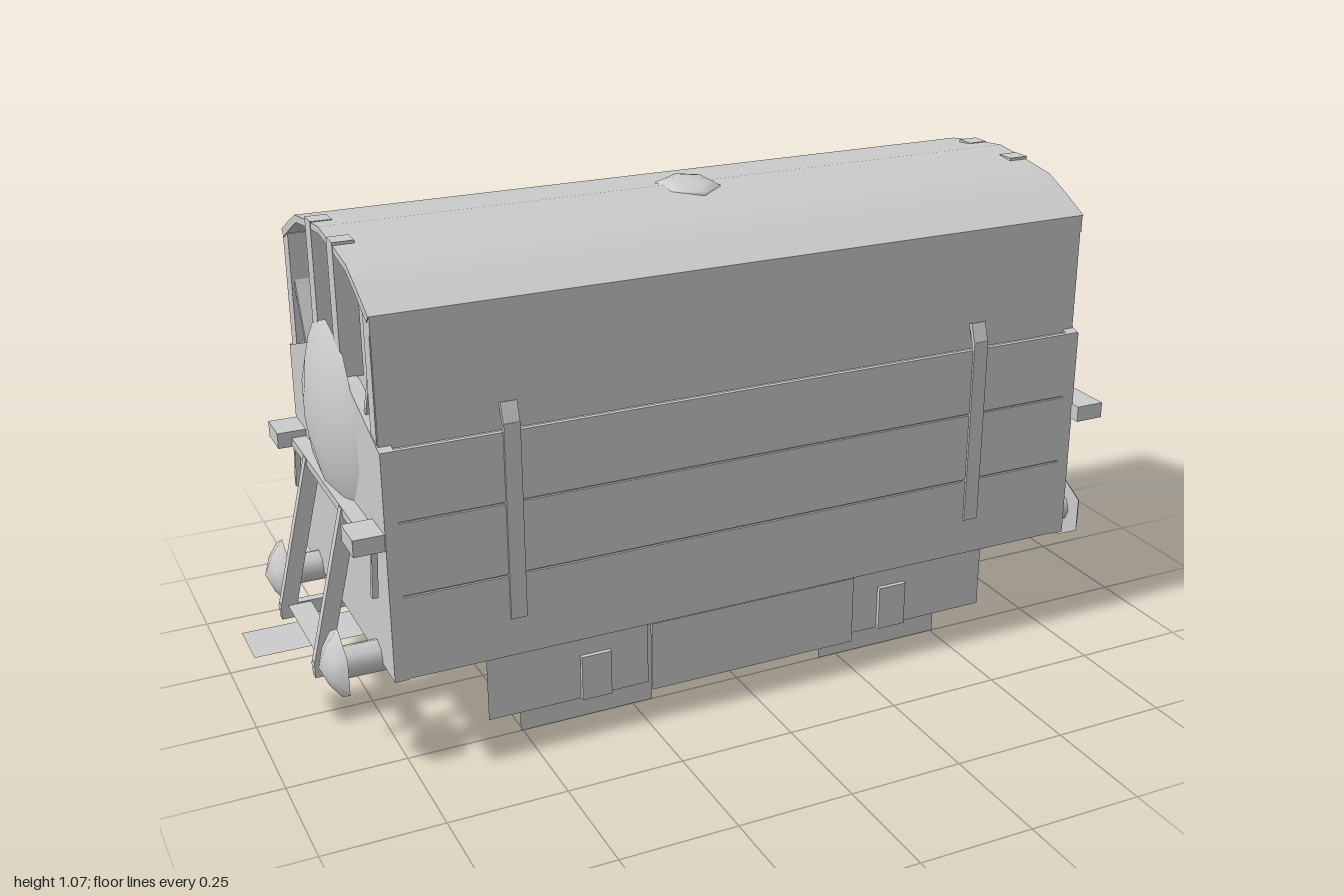
import * as THREE from 'three';
import { toCreasedNormals } from 'three/addons/utils/BufferGeometryUtils.js';

const mat = new THREE.MeshStandardMaterial({ color: 0xcccccc });
const sheetMat = new THREE.MeshStandardMaterial({ color: 0xcccccc, side: THREE.DoubleSide });

export function createModel() {
  const model = new THREE.Group();

  function add(parent, name, geo, material = mat) {
    const m = new THREE.Mesh(geo, material);
    m.name = name;
    parent.add(m);
    return m;
  }
  // box given by its limits
  function box(parent, name, x0, x1, y0, y1, z0, z1) {
    const g = new THREE.BoxGeometry(x1 - x0, y1 - y0, z1 - z0);
    g.translate((x0 + x1) / 2, (y0 + y1) / 2, (z0 + z1) / 2);
    return add(parent, name, g);
  }
  // square bar between two points
  function bar(parent, name, a, b, w, d = w) {
    const p = new THREE.Vector3(...a), q = new THREE.Vector3(...b);
    const m = add(parent, name, new THREE.BoxGeometry(w, p.distanceTo(q), d));
    m.position.copy(p).add(q).multiplyScalar(0.5);
    m.quaternion.setFromUnitVectors(new THREE.Vector3(0, 1, 0), q.sub(p).normalize());
    return m;
  }
  // (z, y) cross-section extruded along x
  function section(parent, name, pts, x0, x1, crease = 0.2) {
    const shape = new THREE.Shape(pts.map(([z, y]) => new THREE.Vector2(-z, y)));
    const g = new THREE.ExtrudeGeometry(shape, { depth: x1 - x0, bevelEnabled: false });
    g.rotateY(Math.PI / 2).translate(x0, 0, 0);
    return add(parent, name, toCreasedNormals(g, crease));
  }
  // thin upright sheet facing z
  function sheet(parent, name, x0, x1, y0, y1, z) {
    const g = new THREE.PlaneGeometry(x1 - x0, y1 - y0);
    g.translate((x0 + x1) / 2, (y0 + y1) / 2, z);
    return add(parent, name, g, sheetMat);
  }
  // thin level sheet
  function flat(parent, name, x0, x1, y, w) {
    const g = new THREE.PlaneGeometry(x1 - x0, w).rotateX(-Math.PI / 2);
    return add(parent, name, g.translate((x0 + x1) / 2, y, 0), sheetMat);
  }
  // faceted cap of revolution around x, from [radius, x] points
  function cap(parent, name, pts, sides, crease) {
    const g = new THREE.LatheGeometry(pts.map(([r, h]) => new THREE.Vector2(r, h)), sides, Math.PI / 2);
    return add(parent, name, toCreasedNormals(g.rotateZ(-Math.PI / 2), crease));
  }

  // lower body
  box(model, 'lowerBody', -0.78, 0.78, 0.23, 0.71, -0.33, 0.33);
  // upper body, recessed at both ends
  const arc = [[0.318, 0.972], [0.255, 1.004], [0.19, 1.034], [0.1, 1.047], [0, 1.058],
    [-0.1, 1.047], [-0.19, 1.034], [-0.255, 1.004], [-0.318, 0.972]];
  section(model, 'upperBody',
    [[0.3, 0.7], ...arc.map(([z, y]) => [z * 0.94, y - 0.012]), [-0.3, 0.7]], -0.735, 0.735);
  // curved roof shell
  section(model, 'roof', [...arc, ...arc.map(([z, y]) => [z * 0.96, y - 0.014]).reverse()], -0.788, 0.788, 0.5);

  // roof vent
  const vent = add(model, 'roofVent', new THREE.SphereGeometry(1, 6, 4, Math.PI / 6, Math.PI * 2, 0, Math.PI / 2));
  vent.scale.set(0.07, 0.023, 0.085);
  vent.position.y = 1.047;

  // long sides
  for (const s of [1, -1]) {
    const side = new THREE.Group();
    side.name = s > 0 ? 'frontSide' : 'backSide';
    side.rotation.y = s > 0 ? 0 : Math.PI;
    model.add(side);
    box(side, 'upperWall', -0.785, 0.785, 0.7, 0.97, 0.295, s > 0 ? 0.316 : 0.308);
    box(side, 'eaveBoard', -0.786, 0.786, 0.935, 0.972, 0.3, 0.318);
    for (const x of [-0.53, 0.53]) {
      box(side, 'strap', x - 0.017, x + 0.017, 0.315, 0.73, 0.33, 0.34);
      bar(side, 'strapTop', [x, 0.725, 0.335], [x, 0.768, 0.32], 0.034, 0.01);
    }
    // underframe sheets, wheel sheets and axle boxes
    sheet(side, 'middleSkirt', -0.24, 0.24, 0.075, 0.23, 0.333);
    for (const x of [-0.355, 0.355]) {
      const c = Math.sign(x) * 0.4125;
      sheet(side, 'axlePlate', c - 0.1775, c + 0.1775, 0.075, 0.23, 0.3);
      sheet(side, 'wheelPlate', x - 0.15, x + 0.15, 0, 0.23, 0.25);
      box(side, 'axleBox', x - 0.033, x + 0.033, 0.075, 0.175, 0.29, 0.31);
    }
  }

  // front planks
  for (const [y0, y1] of [[0.232, 0.408], [0.412, 0.563], [0.567, 0.712]])
    box(model, 'frontPlank', -0.787, 0.787, y0, y1, 0.325, 0.335);

  // back panel and framing
  box(model, 'backPanel', -0.787, 0.787, 0.23, 0.712, -0.335, -0.325);
  for (const [x, w] of [[0.762, 0.048], [0.35, 0.024], [0.21, 0.024], [0, 0.2], [-0.21, 0.024],
    [-0.35, 0.024], [-0.62, 0.024], [-0.762, 0.048]])
    box(model, 'backFramePost', x - w / 2, x + w / 2, 0.71, 0.94, -0.317, -0.305);

  // back rails and the curved strip between them
  const rail = [[-0.316, 0.855], [-0.335, 0.832], [-0.345, 0.79], [-0.347, 0.7], [-0.347, 0.215]];
  const railPath = new THREE.CatmullRomCurve3(rail.map(([z, y]) => new THREE.Vector3(0, y, z)), false, 'centripetal');
  for (const x of [-0.08, 0.08]) {
    const g = new THREE.TubeGeometry(railPath, 16, 0.009, 6);
    add(model, 'backRail', g.translate(x, 0, 0), sheetMat);
  }
  section(model, 'backStrip', [...rail, [-0.33, 0.215], [-0.31, 0.8]], -0.078, 0.078, 0.6);

  // ends
  for (const s of [1, -1]) {
    const end = new THREE.Group();
    end.name = s > 0 ? 'leftEnd' : 'rightEnd';
    end.rotation.y = s > 0 ? 0 : Math.PI;
    model.add(end);
    section(end, 'endWall', [[-0.335, 0.23], [0.335, 0.23], [0.335, 0.71], [0.13, 0.782],
      [-0.13, 0.782], [-0.335, 0.71]], 0.76, 0.788);

    // shallow domed cover
    const dome = cap(end, 'endDome', [[0, -0.04], [0.2, 0], [0.17, 0.016], [0.125, 0.032], [0.065, 0.044], [0, 0.048]], 10, 0.6);
    dome.scale.z = 0.95;
    dome.position.set(0.787, 0.67, 0);

    // drawbar and cross sheet
    flat(end, 'drawbar', 0.7, 1, 0.195, 0.115);
    flat(end, 'crossPlate', 0.835, 0.885, 0.2, 0.28);

    // beam with wide outer blocks
    const reach = s > 0 ? 0.36 : 0.33;
    box(end, 'beam', 0.785, 0.82, 0.512, 0.53, -0.26, 0.26);

    for (const t of [1, -1]) {
      box(end, 'beamBlock', 0.785, 0.85, 0.51, 0.545, Math.min(t * 0.25, t * reach), Math.max(t * 0.25, t * reach));
      bar(end, 'hook', [0.8, 0.51, t * 0.292], [0.805, 0.4, t * 0.292], 0.012);
      // bent brace
      bar(end, 'brace', [0.805, 0.525, t * 0.137], [0.885, 0.19, t * 0.137], 0.034, 0.02);
      box(end, 'braceFoot', 0.68, 0.9, 0.17, 0.203, t * 0.137 - 0.01, t * 0.137 + 0.01);
      // bay posts and corner gussets
      box(end, 'bayPost', 0.745, 0.789, 0.78, 1.053, t * 0.08 - 0.021, t * 0.08 + 0.021);
      box(end, 'cornerPost', 0.73, 0.786, 0.7, 0.972, t * 0.293 - 0.018, t * 0.293 + 0.018);
      bar(end, 'cornerBrace', [0.755, 0.87, t * 0.278], [0.755, 0.73, t * 0.21], 0.05, 0.012);
      // buffer
      const buffer = new THREE.Group();
      buffer.name = 'buffer';
      buffer.position.set(0.78, 0.235, t * 0.222);
      end.add(buffer);
      const shaft = new THREE.CylinderGeometry(0.034, 0.034, 0.1, 8).rotateZ(-Math.PI / 2);
      add(buffer, 'bufferShaft', shaft.translate(0.04, 0, 0));
      cap(buffer, 'bufferHead', [[0, 0.084], [0.077, 0.086], [0.045, 0.11], [0, 0.129]], 6, 1.1);
    }
  }
  return model;
}
